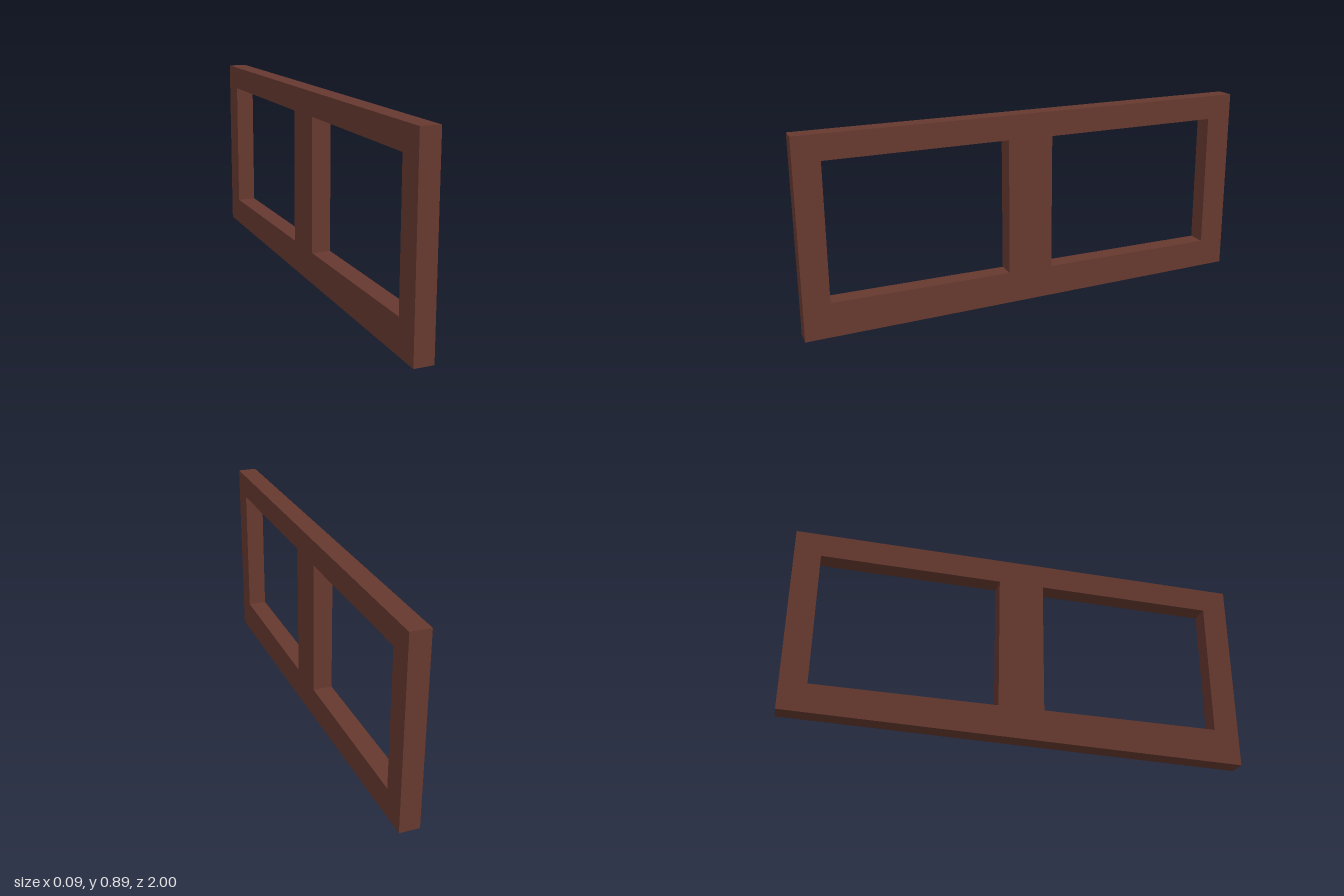
import * as THREE from 'three';

export function createModel() {
  const group = new THREE.Group();
  group.name = 'windowFrame';
  const wood = new THREE.MeshStandardMaterial({ color: 0x66382f });
  wood.name = 'dark red brown wood';

  const thickness = 0.085;
  const trace = (path, points) => path.setFromPoints(points.map(([x, y]) => new THREE.Vector2(x, y)));

  // Slightly sloping outline, drawn with shape x running towards the back
  const outline = trace(new THREE.Shape(), [[-1, 0], [1, 0.066], [1, 0.886], [-1, 0.858]]);

  // Two openings, leaving a wide centre post
  const openings = [
    [[-0.887, 0.155], [-0.1, 0.169], [-0.1, 0.765], [-0.887, 0.752]],
    [[0.1, 0.172], [0.887, 0.186], [0.887, 0.779], [0.1, 0.766]],
  ];
  for (const corners of openings) outline.holes.push(trace(new THREE.Path(), corners));

  // Extrude and turn so the frame stands along z
  const geometry = new THREE.ExtrudeGeometry(outline, { depth: thickness, bevelEnabled: false });
  geometry.translate(0, 0, -thickness / 2);
  geometry.rotateY(Math.PI / 2);

  const frame = new THREE.Mesh(geometry, wood);
  frame.name = 'doubleFrame';
  group.add(frame);
  return group;
}
